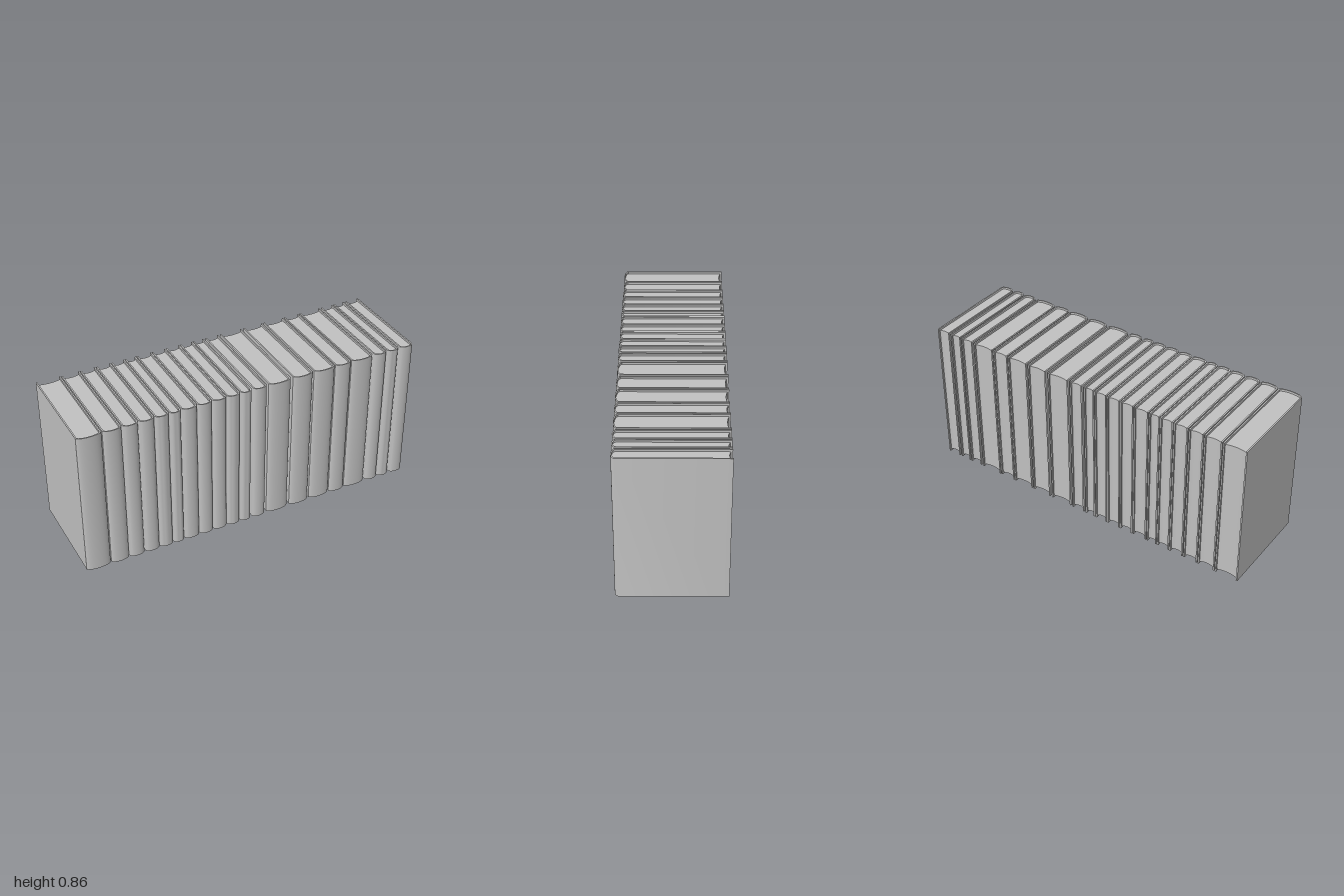
import * as THREE from 'three';
import { toCreasedNormals } from 'three/addons/utils/BufferGeometryUtils.js';

const HEIGHT = 0.862;
const BACK = -0.295;     // free edge of the covers
const SHOULDER = 0.276;  // where the boards meet the rounded spine
const BOARD = 0.008;     // cover thickness
const INSET = 0.012;     // pages sit below the cover edges

// Left and right edge of every book along the row
const BOOKS = [
  [-1, -0.862], [-0.857, -0.754], [-0.749, -0.663], [-0.657, -0.573], [-0.569, -0.492],
  [-0.488, -0.424], [-0.419, -0.331], [-0.327, -0.246], [-0.242, -0.161], [-0.157, -0.081],
  [-0.076, -0.012], [0, 0.08], [0.092, 0.225], [0.24, 0.36], [0.37, 0.497],
  [0.503, 0.6], [0.606, 0.738], [0.75, 0.828], [0.836, 0.905], [0.916, 1],
];

// Extrude a plan drawn in x and z upwards from y0 to y1
function extrudeUp(plan, y0, y1) {
  const g = new THREE.ExtrudeGeometry(plan, { depth: y1 - y0, bevelEnabled: false, curveSegments: 10 });
  g.rotateX(Math.PI / 2);
  g.translate(0, y1, 0);
  return toCreasedNormals(g, 0.6);
}

// Two boards joined by a rounded spine
function coverPlan(w) {
  const h = w / 2, i = h - BOARD, s = SHOULDER - BOARD * 0.5;
  const p = new THREE.Shape();
  p.moveTo(h, BACK);
  p.lineTo(h, SHOULDER);
  p.bezierCurveTo(h * 0.8, 0.301, -h * 0.8, 0.301, -h, SHOULDER);
  p.lineTo(-h, BACK);
  p.lineTo(-i, BACK);
  p.lineTo(-i, s);
  p.bezierCurveTo(-i * 0.8, s + 0.022, i * 0.8, s + 0.022, i, s);
  p.lineTo(i, BACK);
  p.closePath();
  return p;
}

// Page block with a hollow fore edge and a rounded inner side
function pagesPlan(w) {
  const i = w / 2 - BOARD * 0.9, s = SHOULDER - BOARD * 0.4;
  const p = new THREE.Shape();
  p.moveTo(i, -0.286);
  p.lineTo(i, s);
  p.bezierCurveTo(i * 0.8, s + 0.022, -i * 0.8, s + 0.022, -i, s);
  p.lineTo(-i, -0.286);
  p.quadraticCurveTo(0, -0.268, i, -0.286);
  return p;
}

export function createModel() {
  const grey = new THREE.MeshStandardMaterial({ color: 0xc0c0c0 });
  grey.name = 'plain grey';

  const row = new THREE.Group();
  row.name = 'bookRow';

  BOOKS.forEach(([x0, x1], n) => {
    const w = x1 - x0;
    const book = new THREE.Group();
    book.name = `book${n + 1}`;
    book.position.x = (x0 + x1) / 2;

    const cover = new THREE.Mesh(extrudeUp(coverPlan(w), 0, HEIGHT), grey);
    cover.name = 'cover';
    const pages = new THREE.Mesh(extrudeUp(pagesPlan(w), INSET, HEIGHT - INSET), grey);
    pages.name = 'pages';

    book.add(cover, pages);
    row.add(book);
  });
  return row;
}
